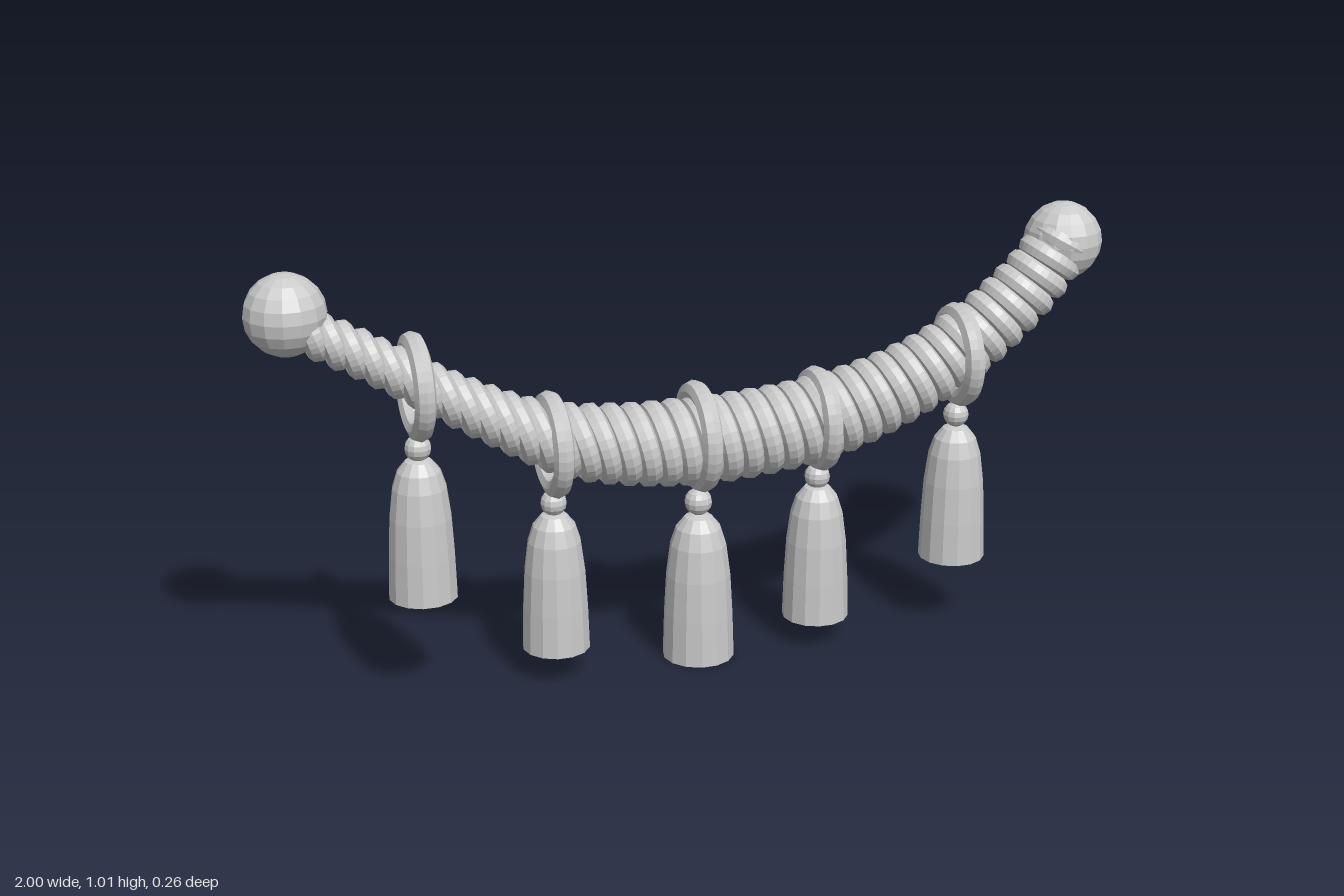
import * as THREE from 'three';

const grey = new THREE.MeshStandardMaterial({ color: 0xcacaca, flatShading: true });
grey.name = 'plain grey';

function add(parent, name, geometry, x, y, z = 0) {
  const mesh = new THREE.Mesh(geometry, grey);
  mesh.name = name;
  mesh.position.set(x, y, z);
  parent.add(mesh);
  return mesh;
}

// Torus whose axis runs along x
const ring = (radius, tube, sides = 28) =>
  new THREE.TorusGeometry(radius, tube, 8, sides).rotateY(Math.PI / 2);

// Piecewise-linear lookup in [x, value] pairs
function lookup(table, x) {
  let i = 0;
  while (i < table.length - 2 && x > table[i + 1][0]) i++;
  const [x0, v0] = table[i], [x1, v1] = table[i + 1];
  return v0 + (v1 - v0) * THREE.MathUtils.clamp((x - x0) / (x1 - x0), 0, 1);
}

export function createModel() {
  const model = new THREE.Group();
  model.name = 'tasselGarland';

  // Sagging rope made of broad, tilted coils, thicker in the middle
  const sag = new THREE.CatmullRomCurve3([
    [-0.86, 0.875], [-0.76, 0.82], [-0.64, 0.745], [-0.5, 0.66], [-0.33, 0.575], [-0.16, 0.54],
    [0, 0.53], [0.16, 0.535], [0.32, 0.555], [0.5, 0.61], [0.65, 0.685], [0.77, 0.775],
    [0.85, 0.855], [0.9, 0.92],
  ].map(([x, y]) => new THREE.Vector3(x, y, 0)));
  const tilts = [[-0.86, 20], [-0.5, 22], [-0.2, 14], [0, 9], [0.3, 17], [0.55, 29], [0.75, 43], [0.9, 60]];
  const radii = [[-0.86, 0.066], [-0.64, 0.075], [-0.33, 0.094], [0, 0.105], [0.3, 0.103], [0.6, 0.088], [0.9, 0.078]];
  const rope = new THREE.Group();
  rope.name = 'rope';
  model.add(rope);
  const coils = 42, tube = 0.02;
  for (let i = 0; i < coils; i++) {
    const p = sag.getPointAt(i / (coils - 1));
    const geometry = ring(lookup(radii, p.x) - tube, tube).scale(1.25, 1, 1);
    const coil = add(rope, 'ropeCoil', geometry, p.x, p.y);
    coil.rotation.z = THREE.MathUtils.degToRad(lookup(tilts, p.x));
  }

  // End knobs
  for (const side of [-1, 1]) {
    add(model, side < 0 ? 'rightKnob' : 'leftKnob', new THREE.SphereGeometry(0.091, 14, 10),
      side * 0.909, 0.917, -0.013);
  }

  // Tassels: hanging ring, bead and bell-shaped skirt
  const profile = [[0, 0], [0.078, 0], [0.075, 0.1], [0.07, 0.19], [0.061, 0.26], [0.049, 0.298],
    [0.03, 0.322], [0, 0.332]].map(([r, y]) => new THREE.Vector2(r, y));
  const tassels = [ // x, ring centre, bead centre, skirt bottom, scale
    [-0.637, 0.73, 0.588, 0.237, 1],
    [-0.332, 0.56, 0.421, 0.07, 1],
    [0.011, 0.54, 0.381, 0, 1.07],
    [0.302, 0.55, 0.408, 0.06, 1],
    [0.648, 0.668, 0.521, 0.166, 1],
  ];
  for (const [x, ringY, beadY, bottom, s] of tassels) {
    const tassel = new THREE.Group();
    tassel.name = 'tassel';
    model.add(tassel);
    add(tassel, 'hangingRing', ring(0.098 * s, 0.024, 32), x, ringY);
    add(tassel, 'bead', new THREE.SphereGeometry(0.03 * s, 12, 8), x, beadY);
    const skirt = add(tassel, 'skirt', new THREE.LatheGeometry(profile, 14), x, bottom);
    skirt.scale.setScalar(s);
    skirt.rotation.y = Math.PI / 2;
  }
  return model;
}
